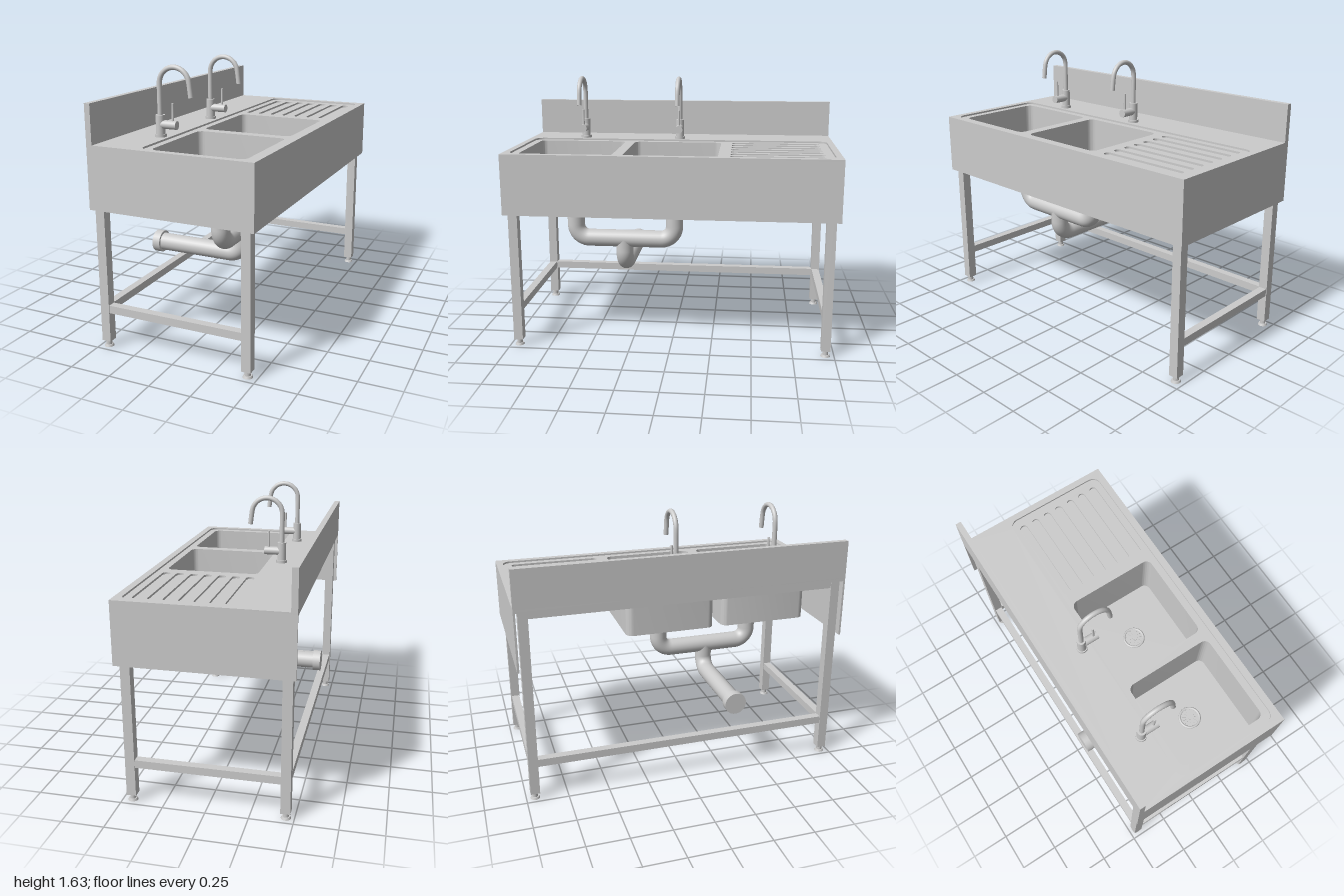
import * as THREE from 'three';
import { toCreasedNormals } from 'three/addons/utils/BufferGeometryUtils.js';

const steel = new THREE.MeshStandardMaterial({ color: 0xcccccc, side: THREE.DoubleSide });
const V = (x, y, z) => new THREE.Vector3(x, y, z);

function add(parent, name, geo, x = 0, y = 0, z = 0) {
  const mesh = new THREE.Mesh(geo, steel);
  mesh.name = name;
  mesh.position.set(x, y, z);
  parent.add(mesh);
  return mesh;
}

// Box given by its extents
function box(parent, name, x0, x1, y0, y1, z0, z1) {
  return add(parent, name, new THREE.BoxGeometry(x1 - x0, y1 - y0, z1 - z0),
    (x0 + x1) / 2, (y0 + y1) / 2, (z0 + z1) / 2);
}

function cyl(parent, name, r, y0, y1, x, z, r2 = r) {
  return add(parent, name, new THREE.CylinderGeometry(r2, r, y1 - y0, 28), x, (y0 + y1) / 2, z);
}

// Rounded rectangle in plan, grown outwards by g (shape y is -z)
function outline({ x0, x1, z0, z1, r }, g = 0, Type = THREE.Shape) {
  const a = x0 - g, b = x1 + g, c = -z1 - g, d = -z0 + g, k = r + g;
  const s = new Type();
  s.moveTo(a + k, c);
  s.lineTo(b - k, c);
  s.absarc(b - k, c + k, k, -Math.PI / 2, 0);
  s.lineTo(b, d - k);
  s.absarc(b - k, d - k, k, 0, Math.PI / 2);
  s.lineTo(a + k, d);
  s.absarc(a + k, d - k, k, Math.PI / 2, Math.PI);
  s.lineTo(a, c + k);
  s.absarc(a + k, c + k, k, Math.PI, Math.PI * 1.5);
  return s;
}

// Horizontal plate between two heights
function plate(parent, name, shape, y0, y1, x = 0, z = 0) {
  const geo = new THREE.ExtrudeGeometry(shape, { depth: y1 - y0, bevelEnabled: false, curveSegments: 8 });
  geo.rotateX(-Math.PI / 2);
  return add(parent, name, toCreasedNormals(geo, 0.6), x, y0, z);
}

// Sunken tray: a thin wall ring and a floor that may have openings
function pocket(parent, name, rect, top, bottom, openings = []) {
  const wall = outline(rect, 0.004);
  wall.holes.push(outline(rect, 0, THREE.Path));
  plate(parent, name + 'Wall', wall, bottom, top);
  const floor = outline(rect, 0.004);
  openings.forEach(o => floor.holes.push(outline(o, 0, THREE.Path)));
  plate(parent, name + 'Floor', floor, bottom - 0.005, bottom);
}

// Pipe through points, with corners rounded to the given radius
function pipe(parent, name, pts, bend, r) {
  const path = new THREE.CurvePath();
  let from = pts[0];
  for (let i = 1; i < pts.length - 1; i++) {
    const p = pts[i];
    const a = p.clone().add(pts[i - 1].clone().sub(p).setLength(bend));
    const b = p.clone().add(pts[i + 1].clone().sub(p).setLength(bend));
    path.add(new THREE.LineCurve3(from, a));
    const k = 0.552;
    path.add(new THREE.CubicBezierCurve3(a, a.clone().lerp(p, k), b.clone().lerp(p, k), b));
    from = b;
  }
  path.add(new THREE.LineCurve3(from, pts[pts.length - 1]));
  add(parent, name, new THREE.TubeGeometry(path, 80, r, 28));
}

function makeTap() {
  const tap = new THREE.Group();
  tap.name = 'tap';
  cyl(tap, 'tapBase', 0.034, 1.213, 1.232, -0.245, 0);
  cyl(tap, 'tapBody', 0.027, 1.232, 1.342, -0.245, 0);
  // Swan neck spout
  const pts = [V(-0.245, 1.33, 0), V(-0.245, 1.4, 0), V(-0.245, 1.46, 0)];
  for (let i = 0; i <= 12; i++) {
    const t = Math.PI - (i / 12) * (Math.PI - 0.14);
    pts.push(V(-0.15 + 0.095 * Math.cos(t), 1.52 + 0.095 * Math.sin(t), 0));
  }
  pts.push(V(-0.05, 1.49, 0), V(-0.045, 1.45, 0));
  add(tap, 'spout', new THREE.TubeGeometry(new THREE.CatmullRomCurve3(pts), 60, 0.015, 18));
  const tip = cyl(tap, 'spoutTip', 0.015, -0.002, 0.002, 0, 0);
  tip.position.set(-0.0455, 1.453, 0);
  tip.rotation.z = 0.14;
  // Side cartridge and lever
  const valve = cyl(tap, 'valve', 0.025, 0, 0.105, 0, 0);
  valve.rotation.z = Math.PI / 2;
  valve.position.set(-0.19, 1.287, 0);
  cyl(tap, 'lever', 0.007, 1.29, 1.412, -0.163, 0);
  return tap;
}

function makeDrain() {
  const drain = new THREE.Group();
  drain.name = 'drain';
  const rim = add(drain, 'drainRim', new THREE.TorusGeometry(0.062, 0.008, 10, 36), 0, 0.853, 0);
  rim.rotation.x = Math.PI / 2;
  // Strainer with radial slots
  const disc = new THREE.Shape().absarc(0, 0, 0.06, 0, Math.PI * 2);
  for (let i = 0; i < 12; i++) {
    const a = (i / 12) * Math.PI * 2;
    const at = (r, da) => new THREE.Vector2(r * Math.cos(a + da), r * Math.sin(a + da));
    disc.holes.push(new THREE.Path([at(0.022, -0.13), at(0.05, -0.1), at(0.05, 0.1), at(0.022, 0.13)]));
  }
  plate(drain, 'strainer', disc, 0.852, 0.856);
  cyl(drain, 'strainerKnob', 0.012, 0.855, 0.862, 0, 0);
  cyl(drain, 'drainFlange', 0.058, 0.832, 0.85, 0, 0, 0.068);
  return drain;
}

export function createModel() {
  const model = new THREE.Group();
  model.name = 'doubleSinkTable';
  const TOP = 1.215, LOW = 0.845, TRAY = 1.204;

  // Worktop with a sunken tray, two basins and drainer grooves
  const tray = { x0: -0.19, x1: 0.457, z0: -0.96, z1: 0.96, r: 0.055 };
  const basins = [-0.28, 0.35].map(z => ({ x0: -0.148, x1: 0.414, z0: z, z1: z + 0.565, r: 0.04 }));
  const grooves = [];
  for (let i = 0; i < 7; i++) {
    const x = -0.125 + i * 0.0857;
    grooves.push({ x0: x - 0.024, x1: x + 0.024, z0: -0.907, z1: -0.35, r: 0.0235 });
  }
  const top = outline({ x0: -0.5, x1: 0.5, z0: -1, z1: 1, r: 0.0005 });
  top.holes.push(outline(tray, 0, THREE.Path));
  plate(model, 'worktop', top, TOP - 0.01, TOP);
  pocket(model, 'tray', tray, TOP - 0.0005, TRAY, [...basins, ...grooves]);
  basins.forEach(b => pocket(model, 'basin', b, TRAY - 0.0005, 0.851));
  grooves.forEach(g => pocket(model, 'groove', g, TRAY - 0.0005, 1.192));

  // Aprons, open at the back, and the backsplash
  box(model, 'frontApron', 0.488, 0.5, LOW, TOP - 0.001, -1, 1);
  for (const s of [-1, 1]) {
    box(model, 'sideApron', -0.5, 0.49, LOW, TOP - 0.001, s * 0.994 - 0.006, s * 0.994 + 0.006);
  }
  box(model, 'backsplash', -0.5, -0.465, 1.195, 1.445, -1, 1);

  // Legs with adjustable feet
  for (const x of [-0.452, 0.442]) {
    for (const z of [-0.947, 0.947]) {
      box(model, 'leg', x - 0.028, x + 0.028, 0.04, 1.2, z - 0.028, z + 0.028);
      cyl(model, 'footPad', 0.029, 0, 0.012, x, z, 0.024);
      cyl(model, 'footStem', 0.017, 0.01, 0.042, x, z);
    }
  }

  // Lower rails on three sides and the rail under the back edge
  for (const z of [-0.947, 0.947]) {
    box(model, 'sideRail', -0.43, 0.42, 0.22, 0.267, z - 0.024, z + 0.024);
  }
  box(model, 'backRail', -0.476, -0.428, 0.22, 0.267, -0.925, 0.925);
  box(model, 'upperBackRail', -0.476, -0.428, 1.15, 1.2, -0.925, 0.925);

  // Taps and drains, one for each basin
  for (const z of [0, 0.635]) {
    for (const part of [makeTap(), makeDrain()]) {
      part.position.z = z;
      if (part.name === 'drain') part.position.x = 0.132;
      model.add(part);
    }
  }

  // Waste pipes joining into one outlet towards the back
  const px = 0.132, mid = 0.322;
  pipe(model, 'wastePipe', [V(px, 0.848, 0), V(px, 0.62, 0), V(px, 0.62, 0.635), V(px, 0.848, 0.635)], 0.085, 0.055);
  pipe(model, 'outletPipe', [V(px, 0.62, mid), V(px, 0.45, mid), V(-0.46, 0.45, mid)], 0.09, 0.055);
  const cap = cyl(model, 'outletCollar', 0.069, 0, 0.05, 0, 0);
  cap.rotation.z = Math.PI / 2;
  cap.position.set(-0.453, 0.45, mid);

  return model;
}
